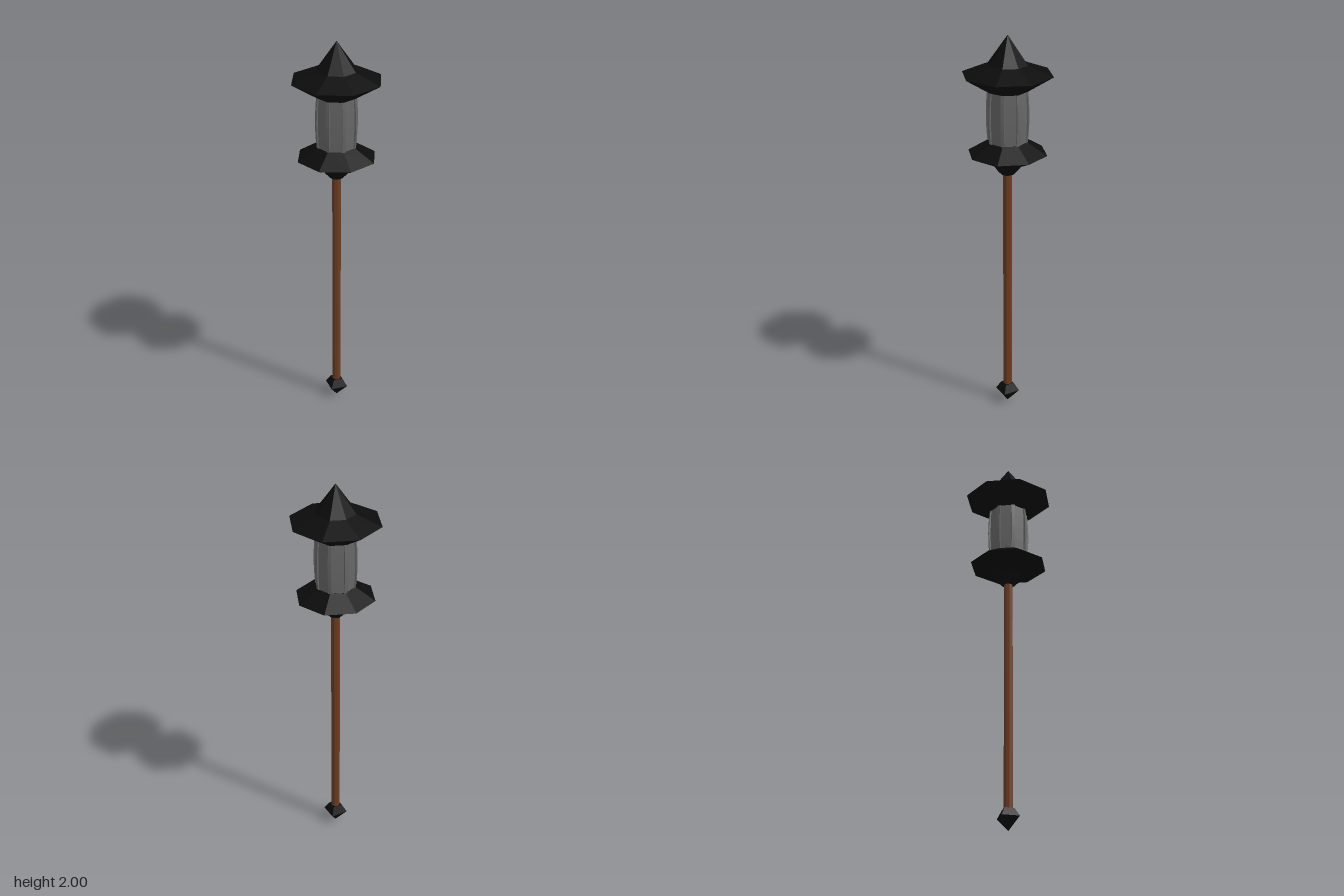
import * as THREE from 'three';

const material = (color) => new THREE.MeshStandardMaterial({ color, flatShading: true });

// Faceted solid of revolution from [radius, height] pairs, listed bottom to top
function turned(name, profile, sides, mat, turn = 0) {
  const points = profile.map(([r, y]) => new THREE.Vector2(r, y));
  const mesh = new THREE.Mesh(new THREE.LatheGeometry(points, sides, turn), mat);
  mesh.name = name;
  return mesh;
}

export function createModel() {
  const model = new THREE.Group();
  model.name = 'lanternStaff';
  const iron = material(0x0c0c0c);
  const wood = material(0x6b3d22);
  const glass = material(0x666666);

  // Four-sided spike at the foot, corners on the diagonals
  model.add(turned('footSpike', [
    [0, 0], [0.063, 0.066], [0.034, 0.108], [0, 0.108],
  ], 4, iron, Math.PI / 4));

  // Wooden shaft
  model.add(turned('shaft', [[0, 0.09], [0.023, 0.09], [0.023, 1.32], [0, 1.32]], 8, wood));

  // Flared base of the lantern
  model.add(turned('lanternBase', [
    [0, 1.3], [0.032, 1.3], [0.056, 1.325], [0.075, 1.352],
    [0.2, 1.41], [0.1, 1.472], [0, 1.472],
  ], 8, iron));

  // Glass body with slightly bulging panes
  model.add(turned('glassBody', [
    [0, 1.465], [0.098, 1.465], [0.101, 1.53], [0.102, 1.6], [0.101, 1.67], [0.098, 1.735], [0, 1.735],
  ], 8, glass));

  // Bowed ribs along the corners of the glass
  const ribs = new THREE.Group();
  ribs.name = 'glassRibs';
  const ribGeometry = new THREE.BoxGeometry(0.018, 0.27, 0.012, 1, 6, 1);
  const pos = ribGeometry.attributes.position;
  for (let i = 0; i < pos.count; i++) {
    const t = pos.getY(i) / 0.135;
    pos.setZ(i, pos.getZ(i) + 0.093 + 0.008 * (1 - t * t));
  }
  ribGeometry.computeVertexNormals();
  for (let i = 0; i < 8; i++) {
    const rib = new THREE.Mesh(ribGeometry, glass);
    rib.name = 'glassRib';
    rib.position.y = 1.6;
    rib.rotation.y = (i * Math.PI) / 4;
    ribs.add(rib);
  }
  model.add(ribs);

  // Wide roof rising to a pointed cap
  model.add(turned('roof', [
    [0, 1.728], [0.1, 1.728], [0.227, 1.808], [0.1, 1.857], [0, 2],
  ], 8, iron));

  return model;
}
